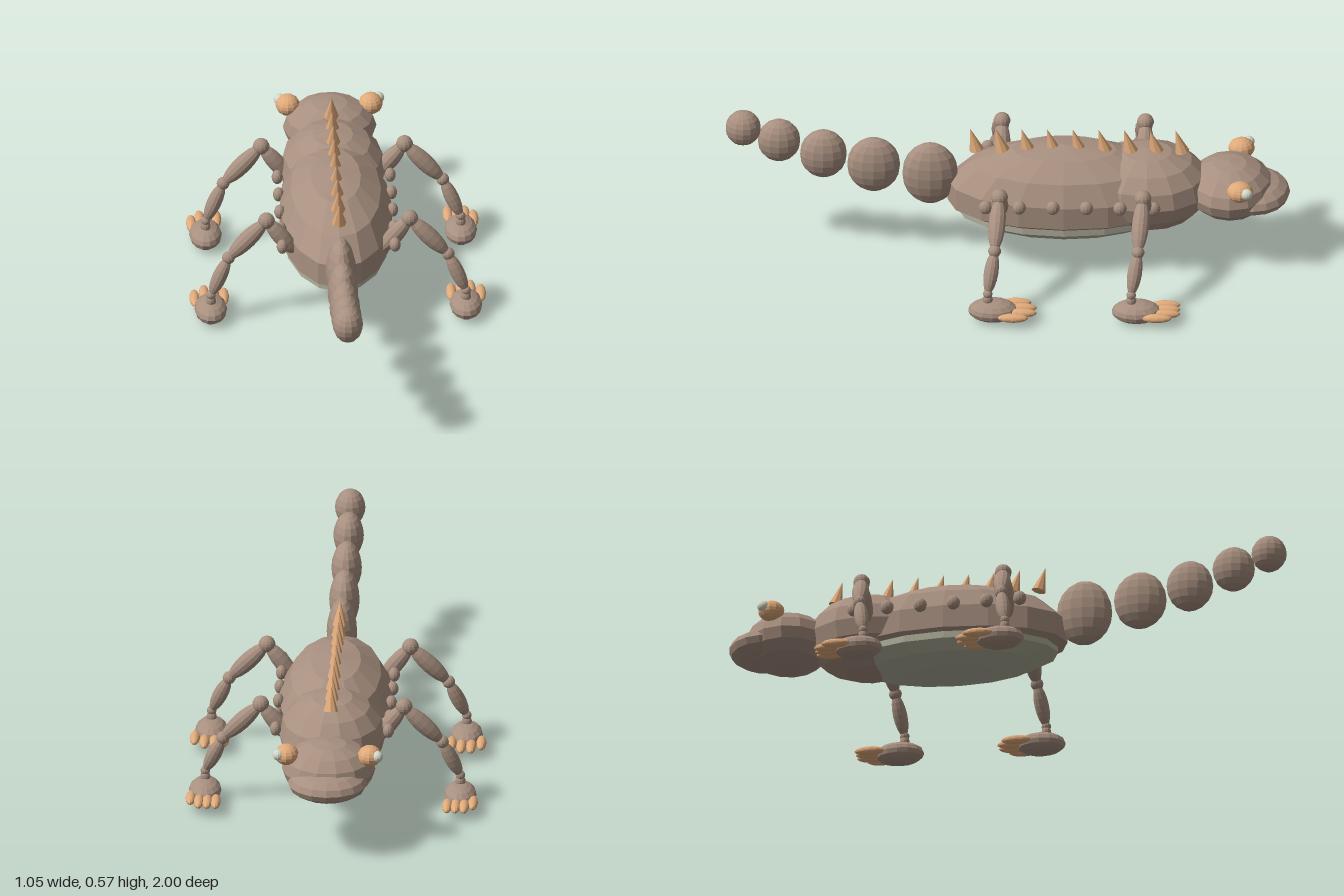
import * as THREE from 'three';

const flat = (name, color) => new THREE.MeshStandardMaterial({ name, color, flatShading: true });

export function createModel() {
  const skin = flat('brown skin', 0xa89080);
  const horn = flat('tan horn', 0xe0aa7a);
  const bellySkin = flat('olive belly', 0xb2b09c);
  const pale = flat('pale pupil', 0xd4d8c8);
  const model = new THREE.Group();
  model.name = 'lizard';

  const add = (parent, name, geo, mat, pos) => {
    const mesh = new THREE.Mesh(geo, mat);
    mesh.name = name;
    mesh.position.set(...pos);
    parent.add(mesh);
    return mesh;
  };
  // Faceted ellipsoid with radii r
  const blob = (parent, name, mat, pos, r, w = 12, h = 10) =>
    add(parent, name, new THREE.SphereGeometry(1, w, h).scale(...r), mat, pos);

  // Stretched ellipsoid between two joints
  const up = new THREE.Vector3(0, 1, 0);
  const bone = (parent, name, a, b, r) => {
    const p = new THREE.Vector3(...a), q = new THREE.Vector3(...b);
    const mid = p.clone().add(q).multiplyScalar(0.5);
    const mesh = blob(parent, name, skin, mid.toArray(), [r, p.distanceTo(q) / 2, r]);
    mesh.quaternion.setFromUnitVectors(up, q.sub(p).normalize());
  };

  // Trunk, with its underside flattened
  const trunk = new THREE.SphereGeometry(1, 16, 7);
  const v = trunk.attributes.position;
  for (let i = 0; i < v.count; i++) {
    const y = v.getY(i);
    if (y < -0.3) v.setY(i, y * 0.68);
  }
  add(model, 'trunk', trunk.scale(0.205, 0.19, 0.425), skin, [0, 0.26, -0.2]);
  blob(model, 'belly', bellySkin, [0, 0.2, -0.2], [0.193, 0.085, 0.39], 16, 7);
  blob(model, 'chest', skin, [0, 0.285, -0.495], [0.19, 0.152, 0.225], 14, 8);

  // Head and snout
  blob(model, 'head', skin, [0, 0.283, -0.787], [0.166, 0.103, 0.155], 14, 8);
  blob(model, 'snout', skin, [0, 0.263, -0.87], [0.141, 0.057, 0.13], 16, 8);

  // Tail beads rising backwards: [y, z, ry, rz]
  [[0.326, 0.275, 0.123, 0.1], [0.36, 0.475, 0.108, 0.095], [0.403, 0.653, 0.095, 0.084],
    [0.457, 0.81, 0.083, 0.076], [0.507, 0.937, 0.067, 0.063]].forEach(([y, z, ry, rz], i) =>
    blob(model, 'tailSegment' + (i + 1), skin, [0, y, z], [0.054, ry, rz], 14, 10));

  // Row of back spikes leaning towards the tail
  for (let i = 0; i < 9; i++) {
    const spike = add(model, 'backSpike', new THREE.ConeGeometry(0.026, 0.09, 8), horn,
      [0, 0.469, 0.122 - i * 0.091]);
    spike.rotation.x = 0.27;
  }

  for (const s of [1, -1]) {
    const side = s > 0 ? 'left' : 'right';

    // Eyes
    blob(model, side + 'Eye', horn, [s * 0.147, 0.35, -0.825], [0.043, 0.037, 0.047]);
    blob(model, side + 'Pupil', pale, [s * 0.176, 0.358, -0.849], [0.02, 0.02, 0.022]);

    // Flank bumps
    for (let i = 0; i < 6; i++)
      blob(model, side + 'FlankBump', skin, [s * 0.2, 0.309, 0.075 - i * 0.119], [0.02, 0.026, 0.024]);

    // Legs; the hind pair repeats the front pair with a wider fan of toes
    for (const [end, z, spread, innerBack] of [['Front', -0.463, 0.03, 0], ['Hind', 0.045, 0.035, 0.02]]) {
      const leg = new THREE.Group();
      leg.name = side + end + 'Leg';
      leg.position.z = z;
      model.add(leg);
      const hip = [s * 0.15, 0.255, -0.02], knee = [s * 0.254, 0.387, -0.02];
      const shin = [s * 0.389, 0.246, -0.005], ankle = [s * 0.452, 0.107, 0.018];
      bone(leg, 'upperLeg', hip, knee, 0.031);
      bone(leg, 'middleLeg', knee, shin, 0.031);
      bone(leg, 'lowerLeg', shin, ankle, 0.026);
      [[knee, 0.03], [shin, 0.023], [ankle, 0.017]].forEach(([p, r]) =>
        blob(leg, 'joint', skin, p, [r, r, r]));
      bone(leg, 'ankle', ankle, [s * 0.452, 0.06, 0.018], 0.018);
      blob(leg, 'foot', skin, [s * 0.452, 0.04, 0], [0.058, 0.04, 0.088], 14, 8);

      // Toes fanned across the foot, outer ones set back
      [innerBack, 0, 0, 0.03].forEach((back, t) =>
        blob(leg, 'toe', horn, [s * (0.455 + (t - 1.5) * spread), 0.041, -0.102 + back],
          [0.018, 0.016, 0.054]));
    }
  }
  return model;
}
